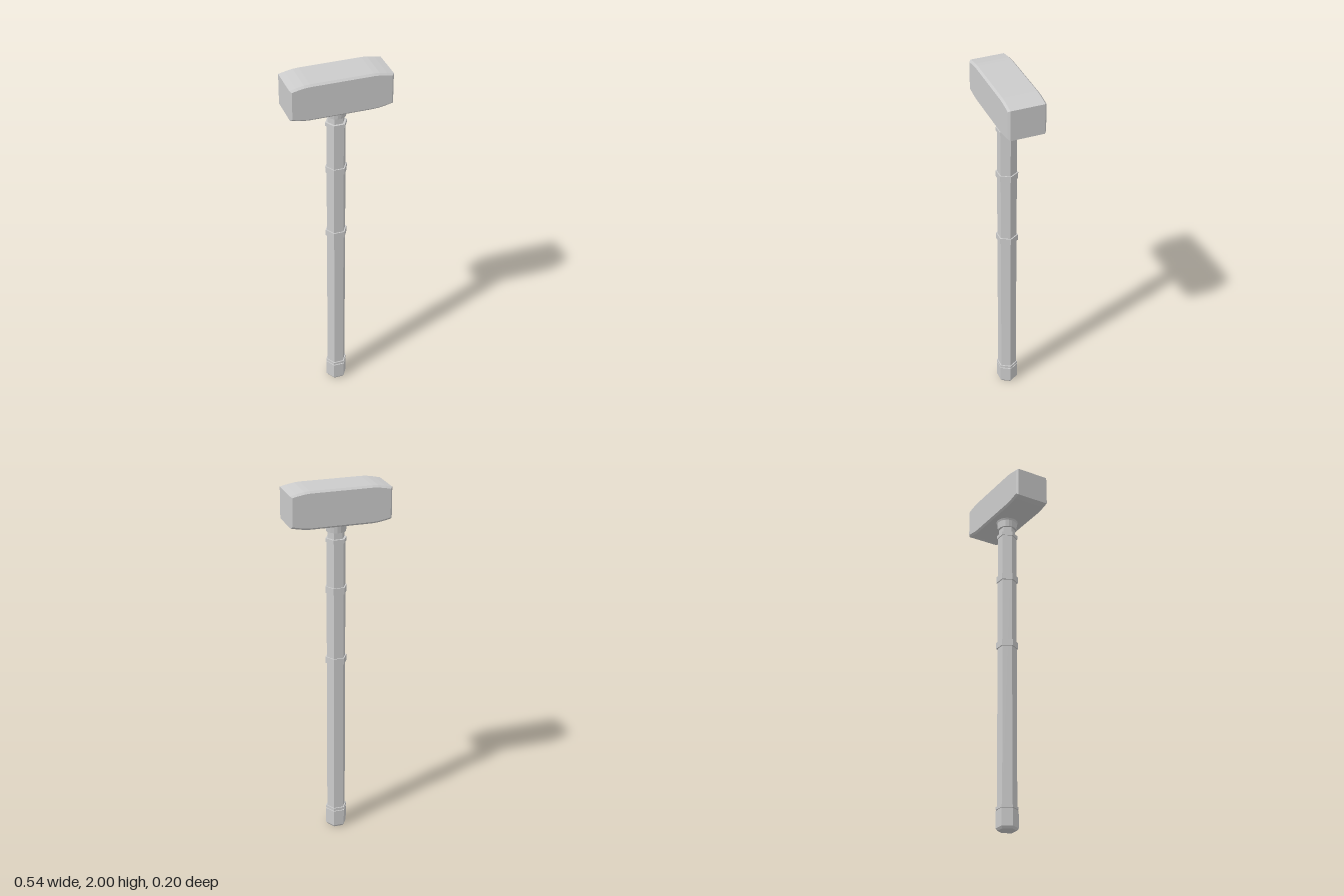
import * as THREE from 'three';

const material = new THREE.MeshStandardMaterial({ color: 0xcccccc, flatShading: true });

function add(group, name, geometry, y = 0) {
  const mesh = new THREE.Mesh(geometry, material);
  mesh.name = name;
  mesh.position.y = y;
  group.add(mesh);
}

// Prism with corners on the x axis, spanning y0 to y1
function prism(group, name, y0, y1, rBottom, rTop = rBottom, sides = 6) {
  const geometry = new THREE.CylinderGeometry(rTop, rBottom, y1 - y0, sides, 1, false, Math.PI / 6);
  add(group, name, geometry, (y0 + y1) / 2);
}

export function createModel() {
  const model = new THREE.Group();
  model.name = 'sledgehammer';

  // Head: tapered-end outline, extruded in z with chamfered edges
  const quarter = [[0.27, 0.083], [0.235, 0.091], [0.195, 0.098], [0.165, 0.1]];
  const outline = [
    ...quarter.map(([x, y]) => [x, y]),
    ...[...quarter].reverse().map(([x, y]) => [-x, y]),
    ...quarter.map(([x, y]) => [-x, -y]),
    ...[...quarter].reverse().map(([x, y]) => [x, -y]),
  ];
  const shape = new THREE.Shape(outline.map(([x, y]) => new THREE.Vector2(x, y)));
  const head = new THREE.ExtrudeGeometry(shape, {
    depth: 0.18, bevelEnabled: true, bevelThickness: 0.01,
    bevelSize: 0.01, bevelOffset: -0.01, bevelSegments: 1,
  });
  head.translate(0, 0, -0.09);
  add(model, 'head', head, 1.9);

  // Shaft and the narrower neck above it
  prism(model, 'shaft', 0.05, 1.7, 0.052);
  prism(model, 'neck', 1.7, 1.81, 0.045);
  prism(model, 'neckRing', 1.695, 1.715, 0.058);

  // Round collar flaring out under the head
  prism(model, 'collar', 1.752, 1.79, 0.052, 0.056, 18);
  prism(model, 'collarFlange', 1.79, 1.81, 0.056, 0.066, 18);

  // Bands around the shaft
  for (const y of [1.03, 1.433]) prism(model, 'band', y - 0.018, y + 0.018, 0.059);

  // Pommel with a chamfered foot and a thin ring above
  prism(model, 'pommelFoot', 0, 0.012, 0.05, 0.059);
  prism(model, 'pommel', 0.012, 0.103, 0.059);
  prism(model, 'pommelRing', 0.109, 0.123, 0.059);

  return model;
}
